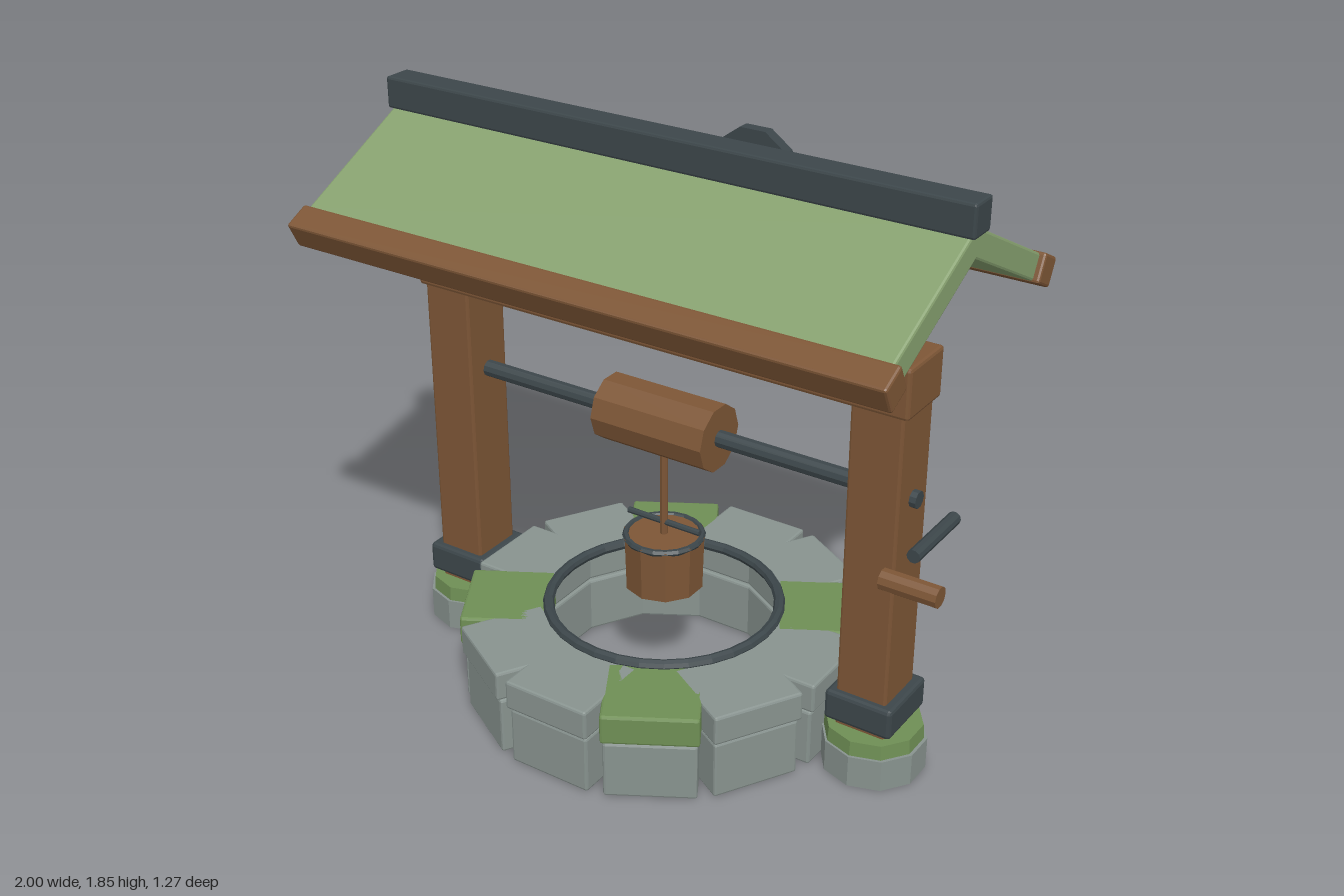
import * as THREE from 'three';
import { RoundedBoxGeometry } from 'three/addons/geometries/RoundedBoxGeometry.js';

const material = (color) => new THREE.MeshStandardMaterial({ color, flatShading: true });
const wood = material(0x7d5636);
const iron = material(0x3c464a);
const stone = material(0x88938f);
const moss = material(0x6f8f55);
const roofGreen = material(0x86a06f);
const amber = material(0xb85a2a);

function add(parent, name, geometry, mat, x = 0, y = 0, z = 0) {
  const mesh = new THREE.Mesh(geometry, mat);
  mesh.name = name;
  mesh.position.set(x, y, z);
  parent.add(mesh);
  return mesh;
}

// Box with slightly chamfered edges
const block = (w, h, d, bevel = 0.008) => new RoundedBoxGeometry(w, h, d, 1, bevel);

// Low-poly cylinder along a chosen axis
function rod(radius, length, axis = 'y', sides = 10, bottom = radius) {
  const g = new THREE.CylinderGeometry(radius, bottom, length, sides);
  if (axis === 'x') g.rotateZ(Math.PI / 2);
  if (axis === 'z') g.rotateY(Math.PI / 2).rotateX(Math.PI / 2);
  return g;
}

function createWell() {
  const well = new THREE.Group();
  well.name = 'stoneWell';
  const inner = 0.36;
  // Two courses of twelve blocks; every third upper block is mossy
  const courses = [
    { name: 'lowerStone', outer: 0.62, width: 0.28, y0: 0, y1: 0.19 },
    { name: 'upperStone', outer: 0.633, width: 0.294, y0: 0.198, y1: 0.295 },
  ];
  courses.forEach(({ name, outer, width, y0, y1 }, course) => {
    for (let i = 0; i < 12; i++) {
      const angle = (i * Math.PI) / 6;
      const r = (inner + outer) / 2;
      const mat = course === 1 && i % 3 === 1 ? moss : stone;
      const mesh = add(well, name, block(width, y1 - y0, outer - inner), mat,
        Math.sin(angle) * r, (y0 + y1) / 2, Math.cos(angle) * r);
      mesh.rotation.y = angle;
    }
  });
  add(well, 'wellRim', new THREE.TorusGeometry(0.367, 0.018, 8, 32).rotateX(Math.PI / 2), iron, 0, 0.299, 0);
  return well;
}

function createFrame() {
  const frame = new THREE.Group();
  frame.name = 'timberFrame';
  for (const s of [-1, 1]) {
    add(frame, 'footing', rod(0.162, 0.105), stone, s * 0.765, 0.0525, 0);
    add(frame, 'mossyFooting', rod(0.15, 0.05, 'y', 10, 0.154), moss, s * 0.763, 0.128, 0);
    add(frame, 'post', block(0.165, 1.1, 0.178), wood, s * 0.758, 0.69, 0);
    add(frame, 'postCollar', block(0.222, 0.1, 0.228, 0.012), iron, s * 0.76, 0.224, 0);
    // Struts lean inward towards the ridge
    const strut = add(frame, 'strut', block(0.32, 0.11, 0.1), wood, s * 0.48, 1.43, 0);
    strut.rotation.z = -s * THREE.MathUtils.degToRad(40);
  }
  add(frame, 'crossbeam', block(1.716, 0.157, 0.2, 0.01), wood, 0, 1.297, 0);
  return frame;
}

function createRoof() {
  const roof = new THREE.Group();
  roof.name = 'roof';
  const pitch = 0.467;
  for (const s of [-1, 1]) {
    const slope = new THREE.Group();
    slope.name = s > 0 ? 'frontSlope' : 'backSlope';
    slope.position.y = 1.73;
    slope.rotation.y = s > 0 ? 0 : Math.PI;
    const pitched = new THREE.Group();
    pitched.rotation.x = pitch;
    slope.add(pitched);
    add(pitched, 'roofPanel', block(1.945, 0.082, 0.5), roofGreen, 0, 0, 0.225);
    add(pitched, 'eaveBeam', block(1.985, 0.09, 0.09), wood, 0, 0, 0.508);
    roof.add(slope);
  }
  add(roof, 'ridgeCap', block(1.972, 0.1, 0.096), iron, 0, 1.804, 0);

  // Round ornament on the back eave
  add(roof, 'ornamentBack', rod(0.146, 0.04, 'z'), iron, 0, 1.583, -0.5);
  add(roof, 'ornamentDisc', rod(0.101, 0.036, 'z'), stone, 0, 1.587, -0.537);
  const gem = add(roof, 'ornamentGem', new THREE.OctahedronGeometry(1), amber, 0, 1.588, -0.566);
  gem.scale.set(0.034, 0.06, 0.024);
  return roof;
}

function createWindlass() {
  const windlass = new THREE.Group();
  windlass.name = 'windlass';
  add(windlass, 'axle', rod(0.027, 1.722, 'x'), iron, 0, 0.935, 0);
  add(windlass, 'drum', rod(0.1065, 0.396, 'x'), wood, 0, 0.935, 0);
  add(windlass, 'rope', rod(0.0125, 0.34, 'y', 8), wood, 0, 0.7, 0);
  // Crank beside the left post
  add(windlass, 'crankArm', rod(0.021, 0.256, 'z'), iron, 0.914, 0.832, 0);
  add(windlass, 'crankGrip', rod(0.033, 0.18, 'x'), wood, 0.914, 0.73, 0.127);
  // Bucket with iron rim and bar handle
  add(windlass, 'bucket', rod(0.13, 0.178, 'y', 10, 0.125), wood, 0, 0.456, 0);
  add(windlass, 'bucketRim', new THREE.TorusGeometry(0.12, 0.011, 6, 20).rotateX(Math.PI / 2), iron, 0, 0.541, 0);
  add(windlass, 'bucketHandle', rod(0.01, 0.265, 'x', 8), iron, 0, 0.586, 0);
  return windlass;
}

export function createModel() {
  const model = new THREE.Group();
  model.name = 'wishingWell';
  const body = new THREE.Group();
  body.name = 'body';
  body.position.x = -0.006; // makes room for the crank on one side
  body.add(createWell(), createFrame(), createRoof(), createWindlass());
  model.add(body);
  return model;
}
